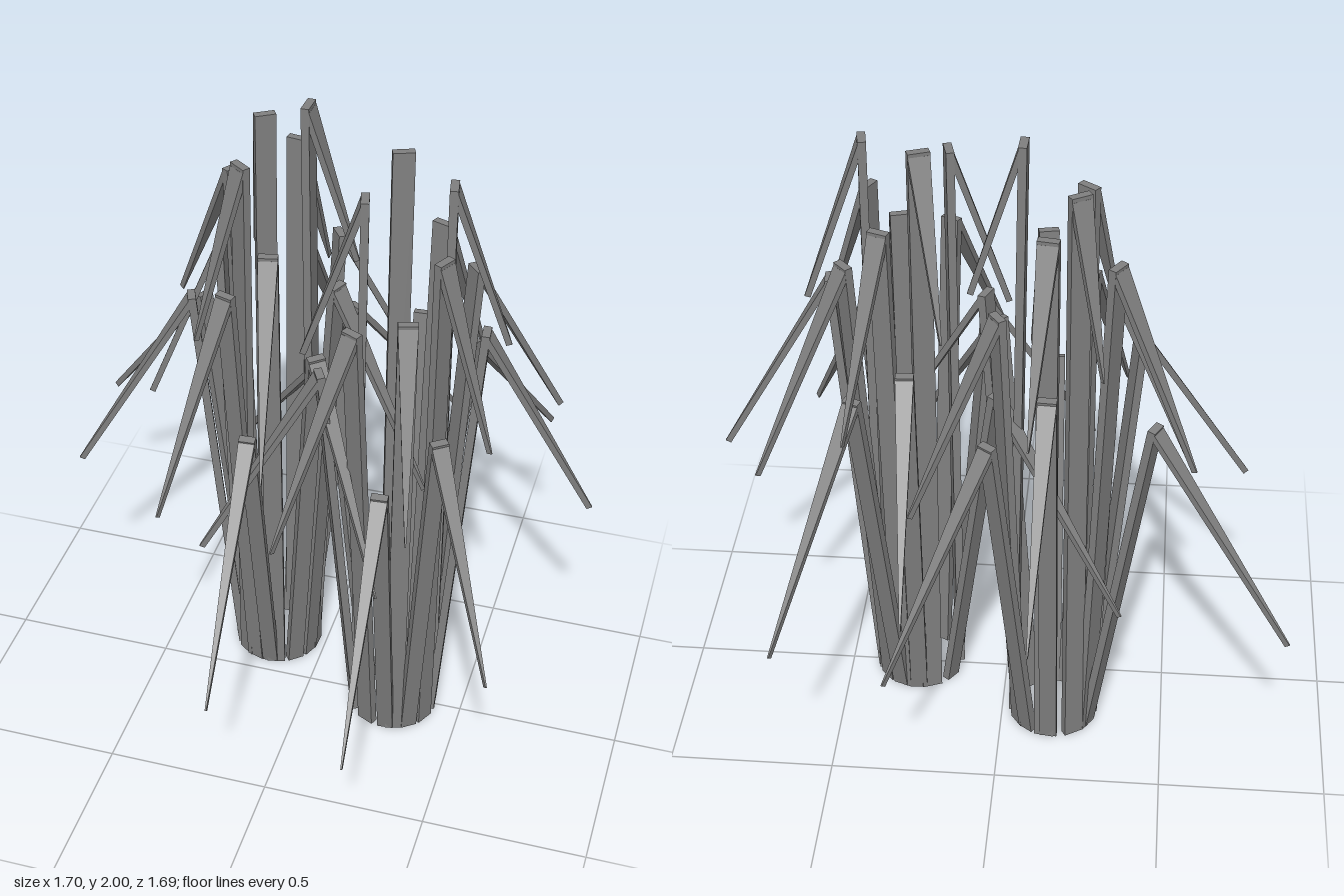
import * as THREE from 'three';

// Each blade: height of its bend, then x and z of its drooping tip
const leftBlades = [
  [1.37, -0.12, -0.84], [1.21, -0.84, -0.55], [1.7, -0.55, -0.44], [1.53, -0.55, -0.14],
  [1.37, -0.72, 0.05], [1.83, -0.33, 0.05], [1.48, -0.35, 0.38], [1.09, -0.1, 0.72],
  [1.62, -0.05, 0.33], [1.31, 0.3, 0.36], [1.48, 0.36, 0.04], [2, 0.09, -0.17],
  [1.53, 0.24, -0.46], [1.19, 0.285, -0.785], [1.8, -0.1, -0.555], [1.9, -0.29, -0.39],
];
const rightBlades = [
  [1.31, 0.245, -0.69], [1.23, 0.61, -0.74], [1.58, 0.685, -0.36], [1.46, 0.84, -0.04],
  [1.91, 0.57, -0.04], [1.72, 0.57, 0.16], [1.23, 0.67, 0.545], [1.1, 0.336, 0.84],
  [1.57, 0.395, 0.41], [1.54, 0.036, 0.51], [1.32, -0.25, 0.29], [1.86, 0, 0.08],
  [1.19, -0.36, -0.44], [1.93, 0.16, -0.3], [1.7, 0.43, -0.4],
];

const material = new THREE.MeshStandardMaterial({ color: 0x808080, flatShading: true });

// Flat bar between two points, its width changing along the way
function bar(name, from, to, side, startWidth, endWidth, thickness) {
  const along = to.clone().sub(from);
  const length = along.length();
  along.normalize();
  const normal = new THREE.Vector3().crossVectors(side, along);
  const geometry = new THREE.BoxGeometry(1, length, thickness);
  geometry.translate(0, length / 2, 0);
  const p = geometry.attributes.position;
  for (let i = 0; i < p.count; i++) {
    p.setX(i, p.getX(i) * (p.getY(i) > length / 2 ? endWidth : startWidth));
  }
  geometry.applyMatrix4(new THREE.Matrix4().makeBasis(side, along, normal).setPosition(from));
  // Keep the foot on the ground
  for (let i = 0; i < p.count; i++) p.setY(i, Math.max(0, p.getY(i)));
  geometry.computeVertexNormals();
  const mesh = new THREE.Mesh(geometry, material);
  mesh.name = name;
  return mesh;
}

// A stem leaning out from a ring, with a pointed leaf folded down from its top
function blade(center, [height, tipX, tipZ]) {
  const out = new THREE.Vector3(tipX, 0, tipZ).sub(center);
  const reach = out.length();
  out.normalize();
  const side = new THREE.Vector3(out.z, 0, -out.x);
  const at = (radius, y) => center.clone().addScaledVector(out, radius).setY(y);

  const kneeRadius = 0.41 * reach;
  const drop = 0.58 - 0.25 * Math.max(0, height - 1.6);
  const width = 0.03 + 0.017 * height;
  const group = new THREE.Group();
  group.name = 'blade';
  group.add(
    bar('stem', at(0.125, 0), at(kneeRadius, height), side, width, width, 0.024),
    bar('leaf', at(kneeRadius + 0.004, height - 0.014), at(reach, height - drop), side, width, 0.004, 0.018),
  );
  return group;
}

// A ring of blades around one centre
function clump(name, x, z, blades) {
  const group = new THREE.Group();
  group.name = name;
  const center = new THREE.Vector3(x, 0, z);
  for (const row of blades) group.add(blade(center, row));
  return group;
}

export function createModel() {
  const model = new THREE.Group();
  model.name = 'grassClumps';
  model.add(
    clump('leftClump', -0.16, -0.18, leftBlades),
    clump('rightClump', 0.28, 0.01, rightBlades),
  );
  return model;
}
